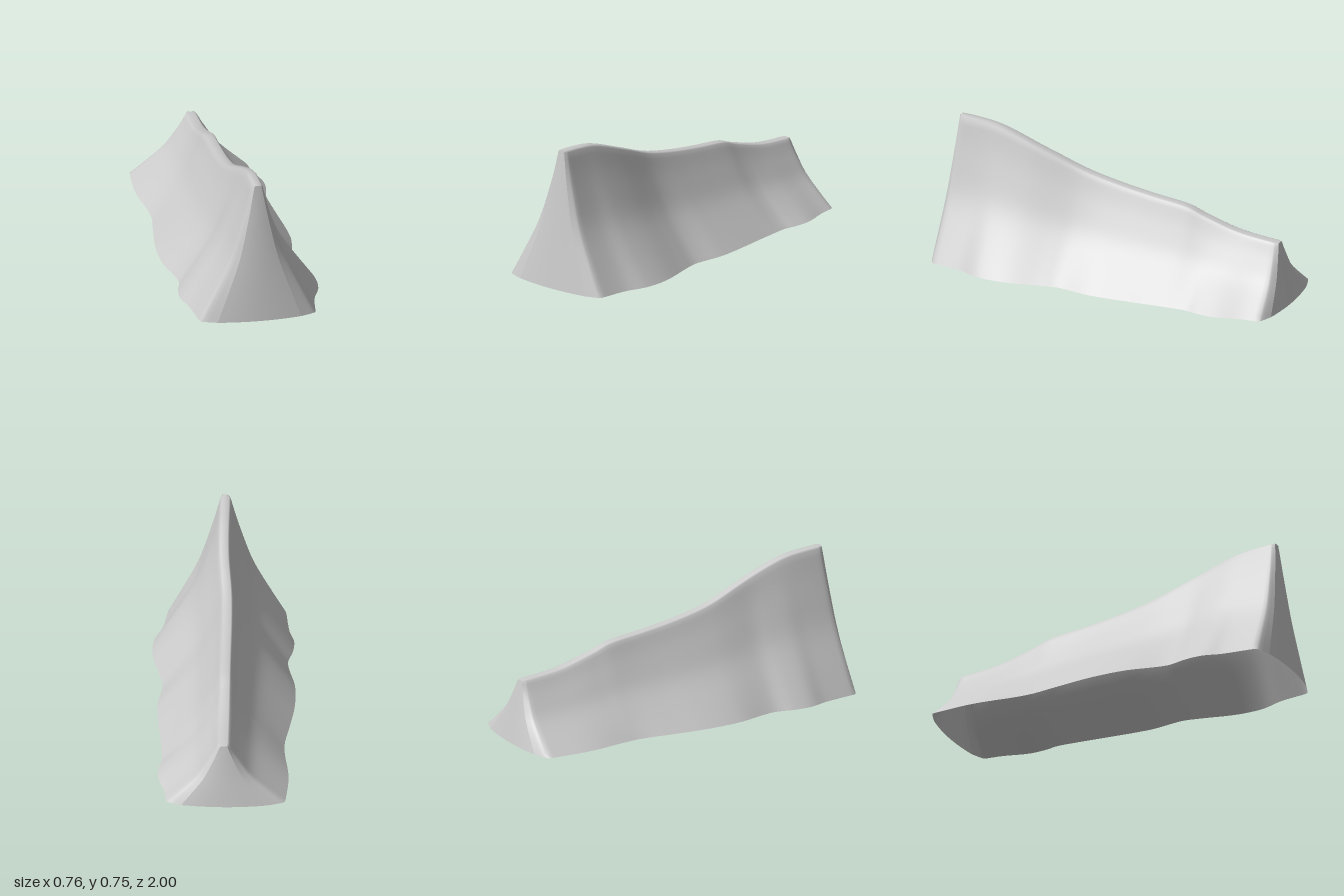
import * as THREE from 'three';

// Smooth interpolation through [position, value] pairs (cubic Hermite)
function curve(pts) {
  const n = pts.length;
  const slope = i => {
    const a = pts[Math.max(i - 1, 0)], b = pts[Math.min(i + 1, n - 1)];
    return (b[1] - a[1]) / (b[0] - a[0]);
  };
  return x => {
    const c = Math.min(Math.max(x, pts[0][0]), pts[n - 1][0]);
    let i = 0;
    while (i < n - 2 && c > pts[i + 1][0]) i++;
    const [x0, y0] = pts[i], [x1, y1] = pts[i + 1];
    const d = x1 - x0, t = (c - x0) / d, t2 = t * t, t3 = t2 * t;
    return y0 * (2 * t3 - 3 * t2 + 1) + y1 * (3 * t2 - 2 * t3)
      + d * (slope(i) * (t3 - 2 * t2 + t) + slope(i + 1) * (t3 - t2));
  };
}

// Ridge height, both foot lines and the wandering crest, all along z
const height = curve([[-0.93, 0.335], [-0.7, 0.36], [-0.5, 0.415], [-0.4, 0.45], [-0.2, 0.475], [0, 0.505],
  [0.2, 0.55], [0.4, 0.625], [0.6, 0.7], [0.7, 0.728], [0.8, 0.74], [0.91, 0.747]]);
const rightFoot = curve([[-0.95, 0.34], [-0.7, 0.355], [-0.4, 0.33], [-0.2, 0.355], [0, 0.38], [0.2, 0.38],
  [0.43, 0.34], [0.55, 0.365], [0.65, 0.37], [0.75, 0.345], [0.94, 0.325]]);
const leftFoot = curve([[-0.95, 0.29], [-0.85, 0.3], [-0.7, 0.335], [-0.6, 0.33], [-0.53, 0.315], [-0.4, 0.32],
  [0, 0.345], [0.2, 0.32], [0.3, 0.335], [0.5, 0.375], [0.65, 0.37], [0.78, 0.325], [0.94, 0.3]]);
const crest = curve([[-0.93, -0.015], [-0.3, -0.02], [0.2, -0.022], [0.5, -0.002], [0.91, -0.005]]);
// Concave flank: share of the foot width left at each share of the height
const flank = curve([[0, 1], [0.2, 0.72], [0.38, 0.48], [0.5, 0.35], [0.7, 0.19], [0.84, 0.09], [0.96, 0.02], [1, 0]]);
// The plan narrows at both ends
const narrowing = curve([[0, 1], [0.94, 1], [0.955, 0.94], [0.98, 0.72]]);

const CAP = 0.035, END = 0.98;

// Point of the cross-section at s; side is -1 or 1, t runs from foot to crest
function flankPoint(s, side, t) {
  const a = Math.abs(s), k = a > 0.94 ? narrowing(a) : 1;
  const foot = side > 0 ? leftFoot(s) : rightFoot(s);
  const mid = crest(s) * t;
  const cap = CAP * (1 - 0.2 * t * t);
  const x = mid + side * k * (cap + (foot - cap) * flank(t));
  const z = s - Math.sign(s) * (s > 0 ? 0.075 : 0.055) * t * a ** 6;
  const top = height(s - Math.sign(s) * 0.07 * a ** 6);
  return new THREE.Vector3(x, top * (t - 0.012 * t ** 20), z);
}

// Surface from rows of points
function grid(rows) {
  const w = rows[0].length, index = [];
  for (let i = 0; i < rows.length - 1; i++) {
    for (let j = 0; j < w - 1; j++) {
      const a = i * w + j, b = a + 1, c = a + w, d = c + 1;
      index.push(a, c, b, b, c, d);
    }
  }
  const g = new THREE.BufferGeometry().setFromPoints(rows.flat());
  g.setIndex(index);
  g.computeVertexNormals();
  return g;
}

export function createModel() {
  const group = new THREE.Group();
  const material = new THREE.MeshStandardMaterial({ color: 0xcccccc, side: THREE.DoubleSide });
  const add = (name, rows) => {
    const mesh = new THREE.Mesh(grid(rows), material);
    mesh.name = name;
    group.add(mesh);
  };
  const levels = Array.from({ length: 19 }, (_, i) => i / 18);

  // Both flanks and the narrow crest, open underneath
  const stations = [-END, -0.965, -0.955, -0.945];
  for (let i = -46; i <= 46; i++) stations.push(i * 0.02);
  stations.push(0.945, 0.955, 0.965, END);
  add('ridgeFlanks', stations.map(s => {
    const right = levels.map(t => flankPoint(s, -1, t));
    const left = levels.map(t => flankPoint(s, 1, t)).reverse();
    const crown = [0.15, 0.5, 0.85].map(u => {
      const p = right.at(-1).clone().lerp(left[0], u);
      p.y = height(p.z);
      return p;
    });
    return [...right, ...crown, ...left];
  }));

  // Leaning end faces, bulging slightly at the foot
  for (const [name, dir] of [['frontFace', 1], ['backFace', -1]]) {
    const rows = levels.map(t => {
      const a = flankPoint(dir * END, -dir, t), b = flankPoint(dir * END, dir, t);
      return Array.from({ length: 13 }, (_, j) => {
        const u = j / 12, p = a.clone().lerp(b, u);
        p.z += dir * 0.02 * (1 - (2 * u - 1) ** 2) * (1 - t);
        if (t === 1 && j > 0 && j < 12) p.y = height(p.z);
        return p;
      });
    });
    add(name, rows.reverse());
  }
  return group;
}
